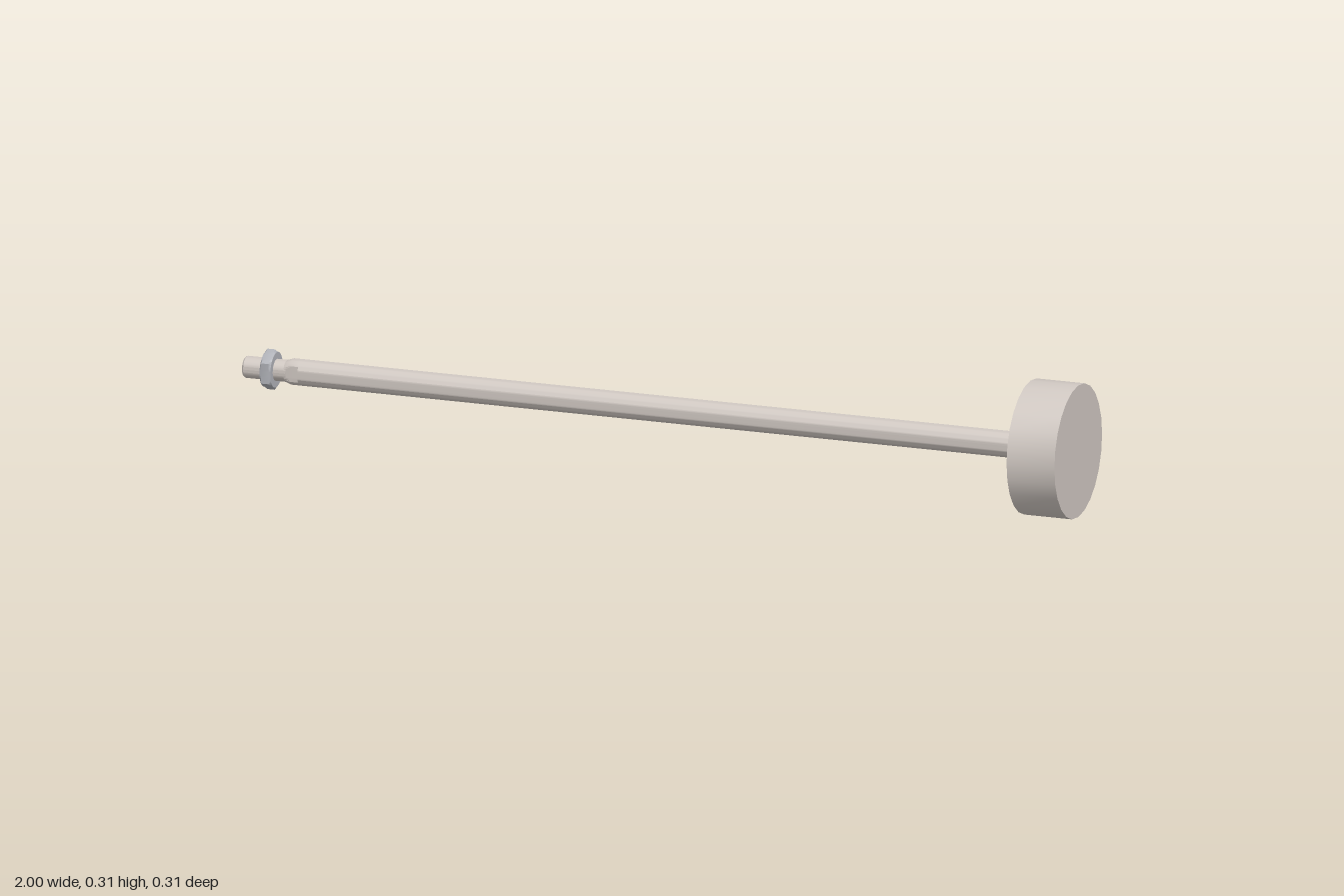
import * as THREE from 'three';
import { toCreasedNormals } from 'three/addons/utils/BufferGeometryUtils.js';

const AXIS_Y = 0.155;

// Solid of revolution along x from [x, radius] pairs; an optional rule reshapes each vertex.
function turned(name, profile, sides, material, rule) {
  let geo = new THREE.LatheGeometry(profile.map(([x, r]) => new THREE.Vector2(r, x)), sides);
  geo.rotateZ(-Math.PI / 2);
  if (rule) {
    const pos = geo.attributes.position;
    const v = new THREE.Vector3();
    for (let i = 0; i < pos.count; i++) {
      v.fromBufferAttribute(pos, i);
      rule(v);
      pos.setXYZ(i, v.x, v.y, v.z);
    }
  }
  geo = toCreasedNormals(geo, 0.45);
  const mesh = new THREE.Mesh(geo, material);
  mesh.name = name;
  mesh.position.y = AXIS_Y;
  return mesh;
}

export function createModel() {
  const group = new THREE.Group();
  group.name = 'pistonRod';
  const steel = new THREE.MeshStandardMaterial({ color: 0xd0c8c2 });
  const nutSteel = new THREE.MeshStandardMaterial({ color: 0xb0b2b8 });

  // Piston head
  group.add(turned('pistonHead', [[0.885, 0], [0.885, 0.154], [1, 0.154], [1, 0]], 24, steel));

  // Rod with a chamfered end and two wrench flats facing front and back
  const flatEnd = -0.865, flat = 0.023;
  group.add(turned('rod', [
    [-0.9, 0], [-0.9, 0.025], [-0.885, 0.03], [flatEnd, 0.03],
    [flatEnd + 0.0005, 0.03], [0.89, 0.03], [0.89, 0],
  ], 48, steel, (v) => {
    if (v.x < flatEnd + 0.0002) v.z = THREE.MathUtils.clamp(v.z, -flat, flat);
  }));

  // Threaded stud with a small end chamfer
  group.add(turned('threadedStud', [
    [-1, 0], [-1, 0.022], [-0.996, 0.025], [-0.895, 0.025], [-0.895, 0],
  ], 24, steel));

  // Hex nut, corners up and down, with chamfered corners
  const apothem = 0.041;
  group.add(turned('hexNut', [
    [-0.951, 0], [-0.951, 0.0405], [-0.947, 0.048],
    [-0.929, 0.048], [-0.925, 0.0405], [-0.925, 0],
  ], 48, nutSteel, (v) => {
    const r = Math.hypot(v.y, v.z);
    if (r < 1e-6) return;
    const step = Math.PI / 3;
    const a = Math.atan2(v.y, v.z);
    const limit = apothem / Math.cos(a - Math.round(a / step) * step);
    const k = Math.min(1, limit / r);
    v.y *= k;
    v.z *= k;
  }));

  return group;
}
